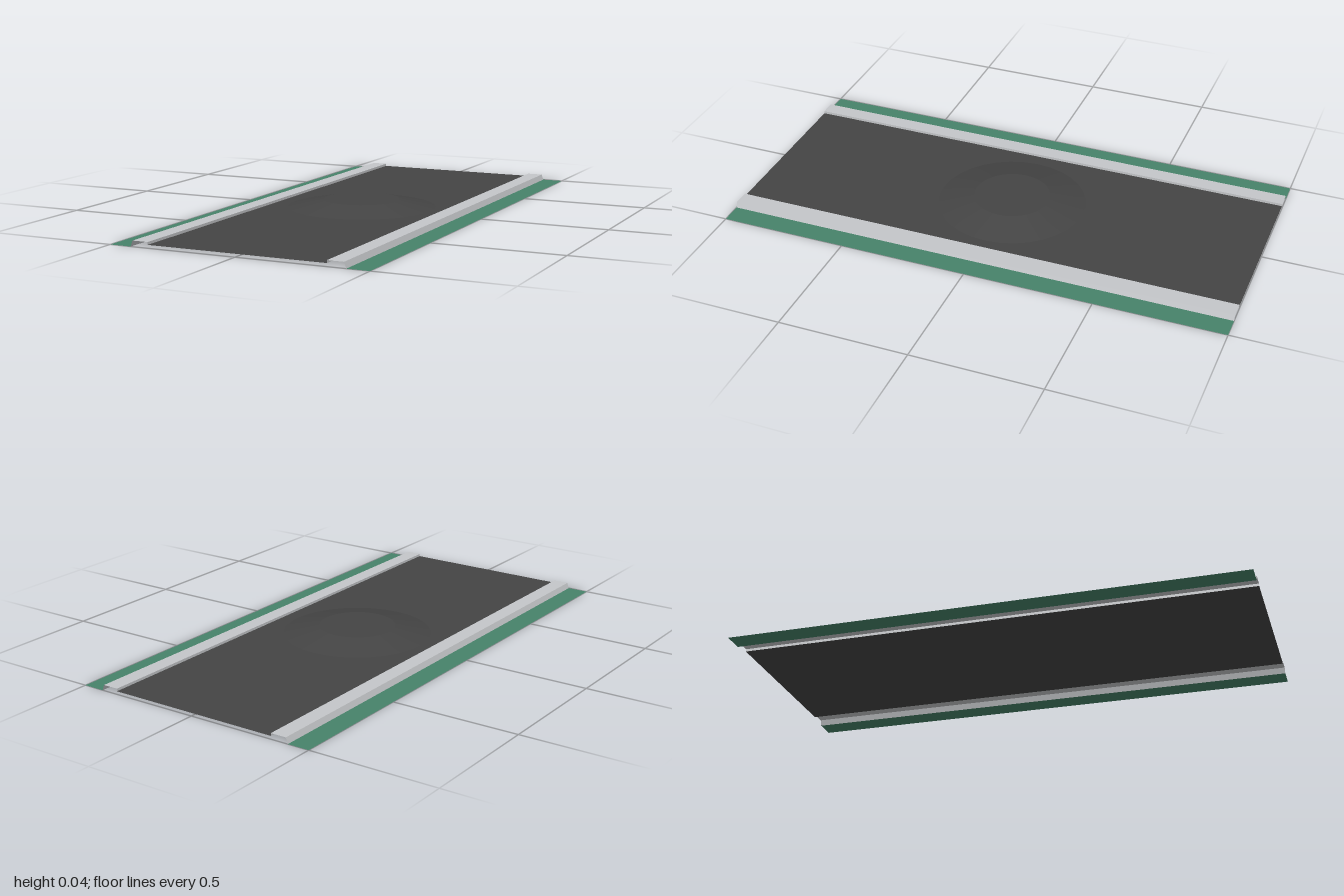
import * as THREE from 'three';

const ROAD_Y = 0.012, CURB_Y = 0.022, HUMP_Y = 0.042;
const ROAD_X = 0.345, HUMP_R = 0.29, HUMP_TOP_R = 0.15, SIDES = 32;

const flat = (name, color) => {
  const m = new THREE.MeshStandardMaterial({ color, side: THREE.DoubleSide });
  m.name = name;
  return m;
};

// Sweeps an open [x, y] profile along the length, each face with its own flat normal
function strip(profile) {
  const pos = [];
  for (let i = 0; i < profile.length - 1; i++) {
    const [ax, ay] = profile[i], [bx, by] = profile[i + 1];
    pos.push(ax, ay, -1, ax, ay, 1, bx, by, 1, ax, ay, -1, bx, by, 1, bx, by, -1);
  }
  const g = new THREE.BufferGeometry();
  g.setAttribute('position', new THREE.Float32BufferAttribute(pos, 3));
  g.computeVertexNormals();
  return g;
}

export function createModel() {
  const asphalt = flat('asphalt', 0x444444);
  const concrete = flat('concrete', 0xc4c6c9);
  const grass = flat('grass', 0x47836a);
  const model = new THREE.Group();
  model.name = 'roadTile';
  const add = (name, geometry, material) => {
    const mesh = new THREE.Mesh(geometry, material);
    mesh.name = name;
    model.add(mesh);
    return mesh;
  };

  // Road surface, open beneath the hump
  const road = new THREE.Shape([
    new THREE.Vector2(-ROAD_X, -1), new THREE.Vector2(ROAD_X, -1),
    new THREE.Vector2(ROAD_X, 1), new THREE.Vector2(-ROAD_X, 1),
  ]);
  const ring = [];
  for (let i = 0; i < SIDES; i++) {
    const a = (i / SIDES) * Math.PI * 2;
    ring.push(new THREE.Vector2(Math.cos(a) * HUMP_R, Math.sin(a) * HUMP_R));
  }
  road.holes.push(new THREE.Path(ring));
  add('roadSurface', new THREE.ShapeGeometry(road).rotateX(-Math.PI / 2), asphalt).position.y = ROAD_Y;

  // Round hump: sloped side and flat top
  const slope = new THREE.CylinderGeometry(HUMP_TOP_R, HUMP_R, HUMP_Y - ROAD_Y, SIDES, 1, true);
  add('humpSlope', slope.rotateY(Math.PI / 2), asphalt).position.y = (ROAD_Y + HUMP_Y) / 2;
  const top = new THREE.CircleGeometry(HUMP_TOP_R, SIDES).rotateX(-Math.PI / 2);
  add('humpTop', top, asphalt).position.y = HUMP_Y;

  // Curb and grass verge on each side; the profile is reversed on the right to keep faces outward
  for (const [side, s] of [['left', 1], ['right', -1]]) {
    const edge = (...points) => {
      const p = points.map(([x, y]) => [x * s, y]);
      return strip(s > 0 ? p : p.reverse());
    };
    add(side + 'Curb', edge([ROAD_X, ROAD_Y], [ROAD_X, CURB_Y], [0.407, CURB_Y], [0.415, 0]), concrete);
    add(side + 'Verge', edge([0.415, 0], [0.5, 0]), grass);
  }
  return model;
}
